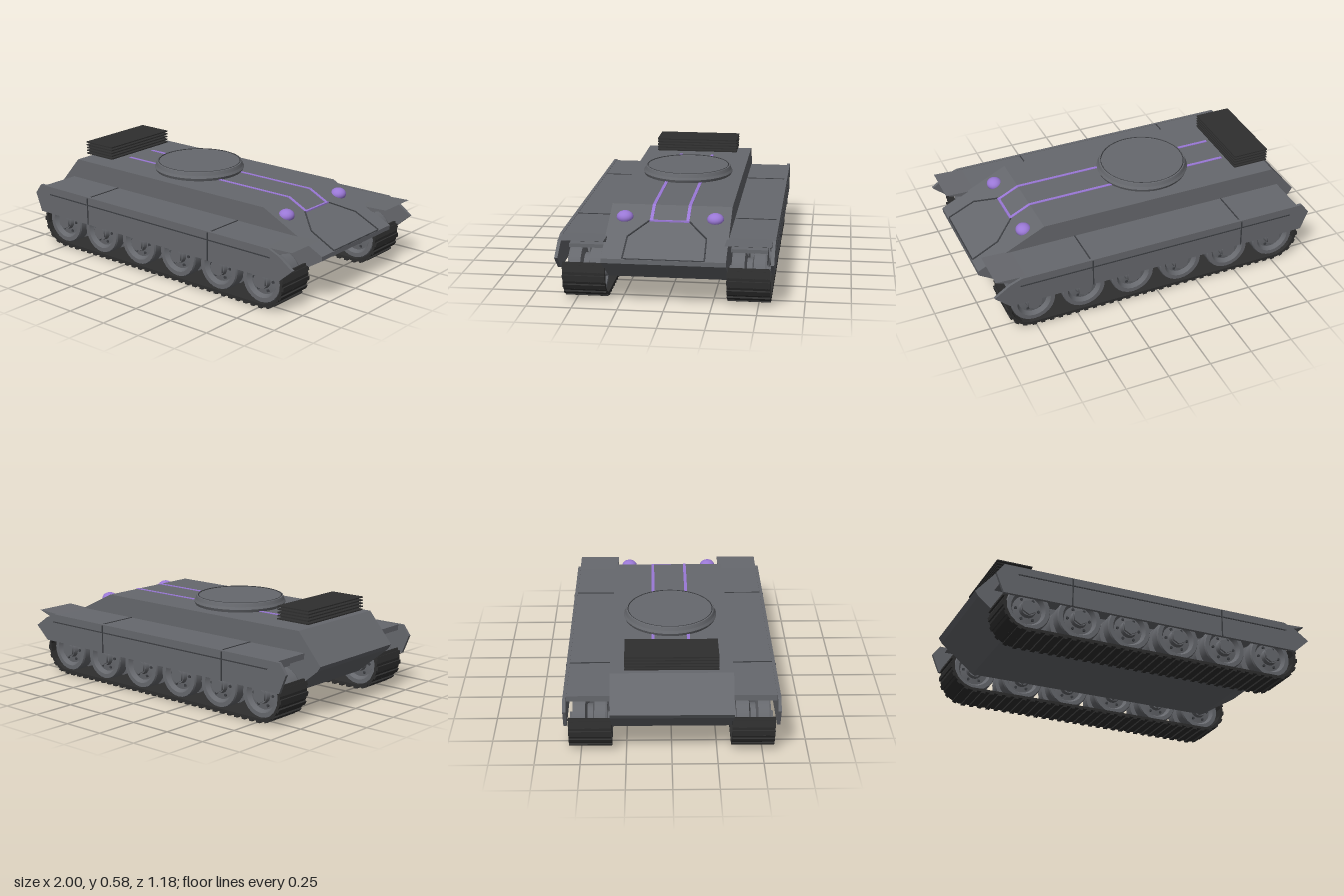
import * as THREE from 'three';
import { mergeGeometries } from 'three/addons/utils/BufferGeometryUtils.js';

const mat = (name, color) => Object.assign(new THREE.MeshStandardMaterial({ color }), { name });

export function createModel() {
  const root = new THREE.Group();
  const grey = mat('armour grey', 0x66686d);
  const seam = mat('seam dark grey', 0x3c3e42);
  const black = mat('track black', 0x2e2e2e);
  const purple = mat('trim purple', 0x9a78d6);

  const add = (name, geo, material, parent = root) => {
    const m = new THREE.Mesh(geo, material);
    m.name = name;
    parent.add(m);
    return m;
  };
  // side outline extruded between two z values
  const slab = (name, pts, z0, z1, material) => {
    const shape = new THREE.Shape(pts.map(([x, y]) => new THREE.Vector2(x, y)));
    const geo = new THREE.ExtrudeGeometry(shape, { depth: z1 - z0, bevelEnabled: false });
    return add(name, geo.translate(0, 0, z0), material);
  };
  // box running from a to b
  const bar = (name, a, b, w, t, material) => {
    const p = new THREE.Vector3(...a), q = new THREE.Vector3(...b);
    const m = add(name, new THREE.BoxGeometry(w, t, p.distanceTo(q)), material);
    m.position.copy(p).lerp(q, 0.5);
    m.lookAt(q);
    return m;
  };
  const slopeY = (x) => 0.485 - Math.max(0, x - 0.6) * 0.4875;

  // Hull
  slab('hull', [[-0.78, 0.115], [0.76, 0.115], [1, 0.265], [1, 0.29], [0.6, 0.485],
    [-0.85, 0.485], [-1, 0.31], [-0.98, 0.28]], -0.335, 0.335, grey);

  // Turret ring with a flat lid
  const ring = [[0, 0], [0.262, 0], [0.27, 0.018], [0.262, 0.032], [0.255, 0.052], [0.247, 0.054],
    [0.243, 0.049], [0, 0.049]];
  const turret = ring.slice(0, -1).map((p, i) =>
    new THREE.LatheGeometry([p, ring[i + 1]].map(([r, y]) => new THREE.Vector2(r, y)), 40));
  add('turretRing', mergeGeometries(turret), grey).position.set(-0.15, 0.484, 0);
  const lip = add('turretSeam', new THREE.TorusGeometry(0.246, 0.003, 4, 40), seam);
  lip.rotation.x = Math.PI / 2;
  lip.position.set(-0.15, 0.537, 0);

  // Louvre stack on the rear deck
  for (let i = 0; i < 5; i++)
    add('rearLouvre', new THREE.BoxGeometry(0.215, 0.007, 0.51), black)
      .position.set(-0.745, 0.507 + i * 0.0178, 0);

  // Front trim bar joining the two deck stripes
  bar('trimCrossbar', [0.72, slopeY(0.72), -0.11], [0.72, slopeY(0.72), 0.11], 0.014, 0.009, purple);
  bar('bowSeam', [0.995, 0.29, -0.215], [0.995, 0.29, 0.215], 0.008, 0.008, seam);

  // Wheel profile, turned around z
  const wheelPts = [[0.02, -0.1], [0.045, -0.1], [0.05, -0.075], [0.085, -0.07], [0.1, -0.095],
    [0.125, -0.095], [0.13, -0.085], [0.13, -0.025], [0.085, -0.015]];
  const profile = [...wheelPts, ...wheelPts.map(([r, y]) => [r, -y]).reverse()]
    .map(([r, y]) => new THREE.Vector2(r, y));
  const tyreGeo = mergeGeometries(profile.slice(0, -1).map((p, i) =>
    new THREE.LatheGeometry([p, profile[i + 1]], 24))).rotateX(Math.PI / 2);
  const hubGeo = new THREE.CylinderGeometry(0.043, 0.043, 0.225, 6).rotateX(Math.PI / 2);
  const boltGeo = new THREE.CylinderGeometry(0.009, 0.009, 0.155, 6).rotateX(Math.PI / 2);

  // Track pads: flat bottom run with rising arcs round the end wheels
  const pads = [];
  const pad = (x, y, angle) => {
    pads.push(new THREE.BoxGeometry(0.056, 0.016, 0.235).rotateZ(angle).translate(x, y, 0));
    pads.push(new THREE.BoxGeometry(0.024, 0.012, 0.235)
      .translate(0, -0.012, 0).rotateZ(angle).translate(x, y, 0));
  };
  for (let i = 0; i <= 29; i++) pad(-0.76 + (1.52 * i) / 29, 0.022, 0);
  for (const s of [-1, 1])
    for (let i = 1; i <= 5; i++) {
      const a = i * 0.37;
      pad(s * (0.76 + 0.14 * Math.sin(a)), 0.162 - 0.14 * Math.cos(a), s * a);
    }
  const trackGeo = mergeGeometries(pads);

  for (const s of [-1, 1]) {
    const zs = (a, b) => (s > 0 ? [a, b] : [-b, -a]);

    // Running gear
    add('track', trackGeo, black).position.z = s * 0.4475;
    for (let i = 0; i < 6; i++) {
      const wheel = new THREE.Group();
      wheel.name = 'roadWheel';
      wheel.position.set(-0.76 + i * 0.302, 0.155, s * 0.4475);
      add('wheelRim', tyreGeo, grey, wheel);
      add('wheelHub', hubGeo, grey, wheel);
      for (let k = 0; k < 6; k++) {
        const a = (k * Math.PI) / 3;
        add('wheelBolt', boltGeo, seam, wheel).position.set(0.066 * Math.cos(a), 0.066 * Math.sin(a), 0);
      }
      root.add(wheel);
    }
    add('upperRun', new THREE.BoxGeometry(1.6, 0.02, 0.2), grey).position.set(0, 0.295, s * 0.445);

    // Fender with an upturned front wedge
    slab('fender', [[-0.89, 0.335], [0.85, 0.335], [0.975, 0.375], [0.8, 0.368], [-0.89, 0.368]],
      ...zs(0.325, 0.572), grey);
    for (const x of [-0.51, 0.42])
      bar('fenderSeam', [x, 0.368, s * 0.337], [x, 0.368, s * 0.57], 0.007, 0.006, seam);

    // Side skirt with seams and a rail
    slab('skirt', [[-0.92, 0.2], [0.9, 0.2], [0.99, 0.28], [0.9, 0.342], [0.83, 0.37],
      [-0.92, 0.37], [-0.965, 0.31]], ...zs(0.57, 0.588), grey);
    for (const x of [-0.52, 0.41])
      bar('skirtSeam', [x, 0.2, s * 0.588], [x, 0.365, s * 0.588], 0.007, 0.007, seam);
    bar('skirtRail', [-0.84, 0.322, s * 0.588], [0.84, 0.322, s * 0.588], 0.008, 0.006, seam);

    // Deck stripes: rear, front, and down the glacis
    bar('deckStripe', [-0.63, 0.485, s * 0.1], [-0.38, 0.485, s * 0.1], 0.018, 0.006, purple);
    bar('deckStripe', [0.08, 0.485, s * 0.1], [0.6, 0.485, s * 0.1], 0.018, 0.006, purple);
    bar('glacisStripe', [0.6, 0.485, s * 0.1], [0.72, slopeY(0.72), s * 0.1], 0.018, 0.006, purple);

    // Bow panel outline
    const outline = [[0.72, 0.11], [0.84, 0.215], [0.995, 0.22]];
    for (let i = 0; i < 2; i++)
      bar('bowSeam', ...[outline[i], outline[i + 1]].map(([x, z]) => [x, slopeY(x), s * z]), 0.008, 0.008, seam);

    // Headlamp
    const lamp = add('headlamp', new THREE.SphereGeometry(1, 20, 14), purple);
    lamp.scale.set(0.045, 0.036, 0.047);
    lamp.position.set(0.695, 0.437, s * 0.25);
  }
  return root;
}
